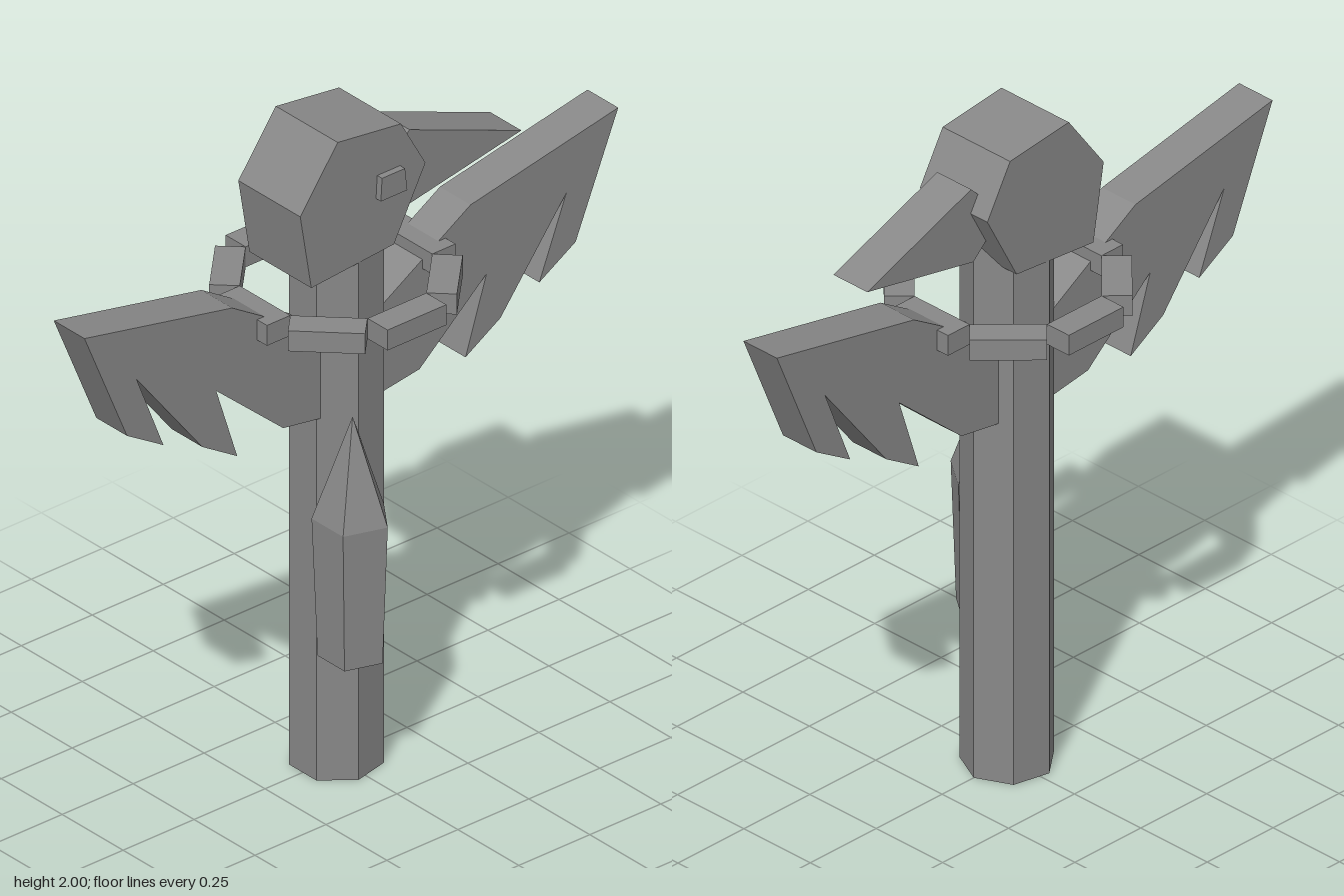
import * as THREE from 'three';

const grey = new THREE.MeshStandardMaterial({ color: 0x888888, flatShading: true });
grey.name = 'plainGrey';

// Flat slab: outline in x/y, extruded from z0 to z1
function slab(name, outline, z0, z1) {
  const shape = new THREE.Shape(outline.map(([x, y]) => new THREE.Vector2(x, y)));
  const geometry = new THREE.ExtrudeGeometry(shape, { depth: z1 - z0, bevelEnabled: false });
  geometry.translate(0, 0, z0);
  const mesh = new THREE.Mesh(geometry, grey);
  mesh.name = name;
  return mesh;
}

// Upright prism or cone with one corner pointing to +x
function prism(name, rTop, rBottom, y0, y1, sides, x = 0, z = 0) {
  const geometry = new THREE.CylinderGeometry(rTop, rBottom, y1 - y0, sides, 1, false, Math.PI / 2);
  const mesh = new THREE.Mesh(geometry, grey);
  mesh.position.set(x, (y0 + y1) / 2, z);
  mesh.name = name;
  return mesh;
}

export function createModel() {
  const model = new THREE.Group();
  model.name = 'birdTotem';

  // Seven-sided pole
  model.add(prism('pole', 0.13, 0.13, 0, 1.7, 7));

  // Head, beak and the single eye on the front
  model.add(slab('head', [
    [-0.196, 1.585], [0.095, 1.61], [0.206, 1.82], [0.12, 1.973], [-0.103, 2], [-0.235, 1.82],
  ], -0.127, 0.127));
  model.add(slab('beak', [
    [0.148, 1.71], [0.196, 1.665], [0.598, 1.743], [0.204, 1.895], [0.15, 1.84],
  ], -0.064, 0.064));
  model.add(slab('eye', [
    [0.032, 1.775], [0.125, 1.775], [0.117, 1.845], [0.036, 1.845],
  ], 0.11, 0.147));

  // Notched wings, mirrored
  const wing = [
    [0.05, 1.355], [0.05, 1.12], [0.11, 1.12], [0.24, 1.14], [0.476, 1.345], [0.402, 1.115], [0.525, 1.19],
    [0.757, 1.488], [0.662, 1.248], [0.79, 1.325], [0.94, 1.683], [0.42, 1.58], [0.11, 1.39],
  ];
  model.add(slab('leftWing', wing, -0.063, 0.063));
  model.add(slab('rightWing', wing.map(([x, y]) => [-x, y]).reverse(), -0.063, 0.063));

  // Collar of eight separate blocks
  const collar = new THREE.Group();
  collar.name = 'collar';
  for (let i = 0; i < 8; i++) {
    const a = (i * Math.PI) / 4;
    const block = new THREE.Mesh(new THREE.BoxGeometry(0.207, 0.063, 0.082), grey);
    block.position.set(Math.sin(a) * 0.291, 1.479, Math.cos(a) * 0.291);
    block.rotation.y = a;
    block.name = 'collarBlock';
    collar.add(block);
  }
  model.add(collar);

  // Five-sided pointed blade on the front of the pole
  const blade = new THREE.Group();
  blade.name = 'blade';
  blade.add(prism('bladeBody', 0.11, 0.094, 0.4, 0.825, 5, -0.054, 0.131));
  blade.add(prism('bladeTip', 0, 0.11, 0.825, 1.135, 5, -0.054, 0.131));
  model.add(blade);

  return model;
}
